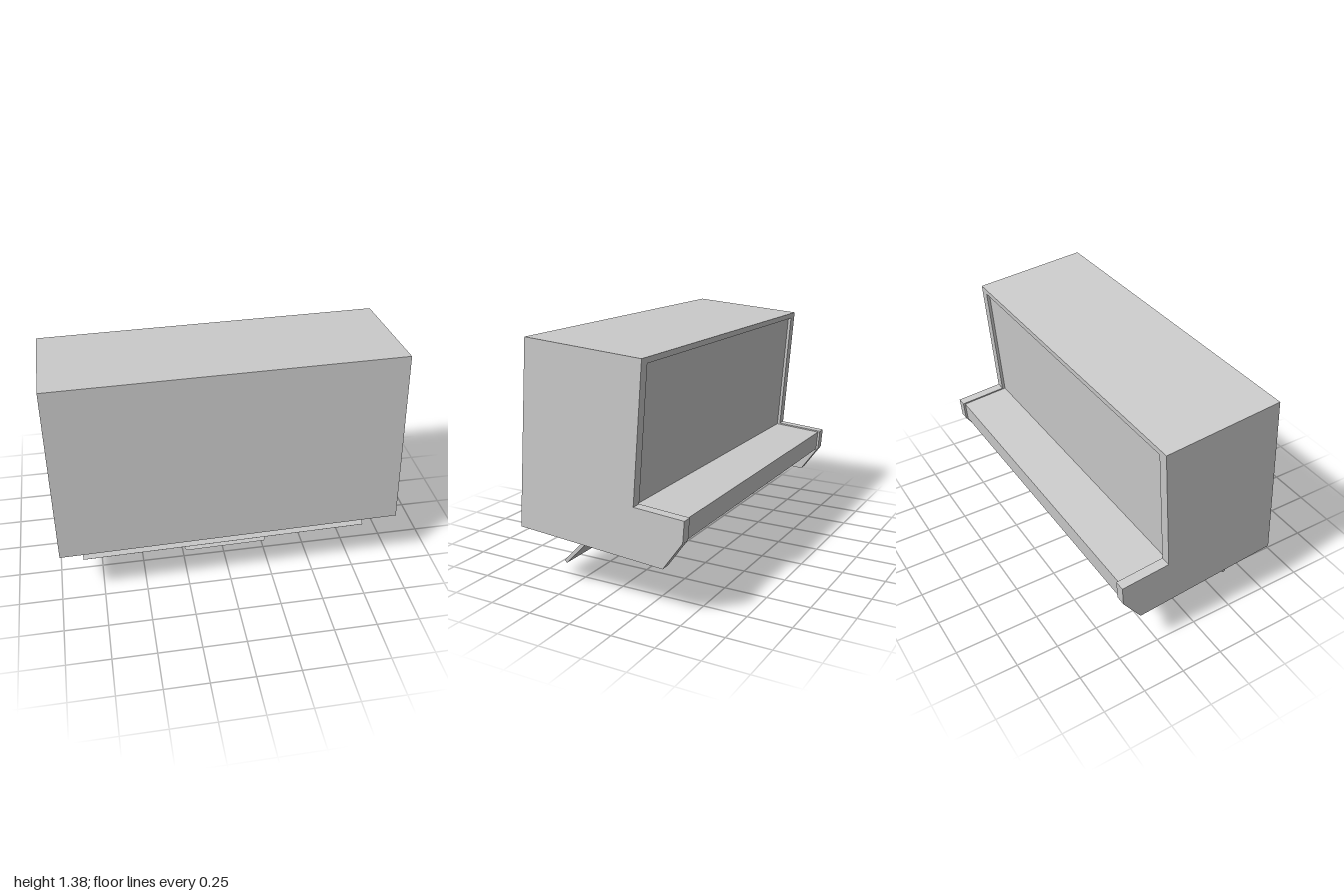
import * as THREE from 'three';

export function createModel() {
  const root = new THREE.Group();
  root.name = 'cabinet';
  const grey = new THREE.MeshStandardMaterial({ color: 0xcccccc, side: THREE.DoubleSide });
  grey.name = 'plain grey';

  // Cabinet frame: x across, h up from its floor, d backwards from its front face
  const body = new THREE.Group();
  body.name = 'tiltedBody';
  body.position.set(0.005, 0.338, 0.5);
  body.rotation.set(-0.077, 0.0115, 0.007);
  root.add(body);

  const add = (name, geometry, parent = body) => {
    const mesh = new THREE.Mesh(geometry, grey);
    mesh.name = name;
    parent.add(mesh);
    return mesh;
  };
  // Extrudes a [d, h] profile across the width from x0 to x1
  const slice = (name, points, x0, x1) => {
    const shape = new THREE.Shape(points.map(([d, h]) => new THREE.Vector2(d, h)));
    const g = new THREE.ExtrudeGeometry(shape, { depth: x1 - x0, bevelEnabled: false });
    g.rotateY(Math.PI / 2);
    g.translate(x0, 0, 0);
    return add(name, g);
  };
  const block = (name, x0, x1, d0, d1, h0, h1) =>
    slice(name, [[d0, h0], [d1, h0], [d1, h1], [d0, h1]], x0, x1);

  // Side cheeks
  const W = 0.9915, IN = 0.934;
  const cheek = [[0, 0], [0.882, 0], [0.983, 0.166], [0.983, 0.285],
    [0.693, 0.285], [0.693, 1.042], [0, 1.042]];
  slice('leftCheek', cheek, IN, W);
  slice('rightCheek', cheek, -W, -IN);

  // Core with recessed back panel, shelf, and the hollow beneath the shelf
  slice('core', [[0, 0], [0.65, 0], [0.71, 0.185], [0.97, 0.158], [0.97, 0.277],
    [0.675, 0.277], [0.675, 1.01], [0, 1.01]], -IN, IN);
  block('topBoard', -IN, IN, 0, 0.693, 1.01, 1.042);

  // Floor slab
  block('floorSlab', -0.93, 0.93, 0.047, 0.633, -0.029, 0);

  // Vent fins and long trim strips under the shelf
  const ceiling = (d) => 0.185 - (d - 0.71) * 0.104;
  for (const start of [0.06, -0.86]) {
    for (let i = 0; i < 15; i++) {
      const x = start + i * 0.0555;
      slice('ventFin', [[0.735, ceiling(0.735) - 0.01], [0.835, ceiling(0.835) - 0.01],
        [0.835, ceiling(0.835)], [0.735, ceiling(0.735)]], x, x + 0.022);
    }
  }
  block('trimStrip', 0.05, 0.84, 0.93, 0.95, 0.15, 0.165);
  block('trimStrip', -0.84, -0.04, 0.93, 0.95, 0.15, 0.165);

  // Control panel fittings, laid out on the steep face under the shelf
  const panel = new THREE.Group();
  panel.name = 'controlPanel';
  panel.position.set(0, 0.0925, -0.68);
  panel.rotation.x = Math.PI - 0.313;
  body.add(panel);
  [-0.034, -0.12, -0.205, -0.3, -0.385].forEach((x, i) => {
    const r = i === 2 ? 0.03 : 0.024;
    const knob = new THREE.CylinderGeometry(r, r, 0.024, 16);
    knob.rotateX(Math.PI / 2);
    add('knob', knob, panel).position.set(x, -0.005, 0.01);
  });
  const switches = [[0.54, 0.06], [0.46, 0.06], [0.19, 0.07], [0.12, 0.03], [-0.81, 0.09]];
  for (const [x, w] of switches)
    add('switch', new THREE.BoxGeometry(w, 0.022, 0.014), panel).position.set(x, 0, 0.005);
  for (const x of [0.83, 0.79, 0.75, 0.71, -0.51, -0.55, -0.59])
    add('button', new THREE.BoxGeometry(0.014, 0.014, 0.012), panel).position.set(x, 0, 0.005);

  // Hinged lid hanging from the floor slab
  slice('hangingLid', [[0.34, -0.025], [0.204, -0.192], [0.219, -0.204], [0.364, -0.029]],
    -0.865, 0.865);

  // Hook-shaped bracket, its thin tapered flap and a small catch
  slice('bracket', [[0.418, -0.02], [0.455, -0.02], [0.455, -0.05], [0.446, -0.05], [0.446, -0.105],
    [0.466, -0.105], [0.466, -0.125], [0.418, -0.125]], -0.36, 0.37);
  const flap = new THREE.BufferGeometry();
  flap.setAttribute('position', new THREE.Float32BufferAttribute([
    -0.35, -0.123, -0.461, -0.23, -0.314, -0.325,
    0.265, -0.314, -0.325, 0.37, -0.123, -0.461], 3));
  flap.setIndex([0, 1, 2, 0, 2, 3]);
  flap.computeVertexNormals();
  add('taperedFlap', flap);
  block('catch', -0.065, 0.105, 0.535, 0.565, -0.06, -0.025);

  return root;
}
